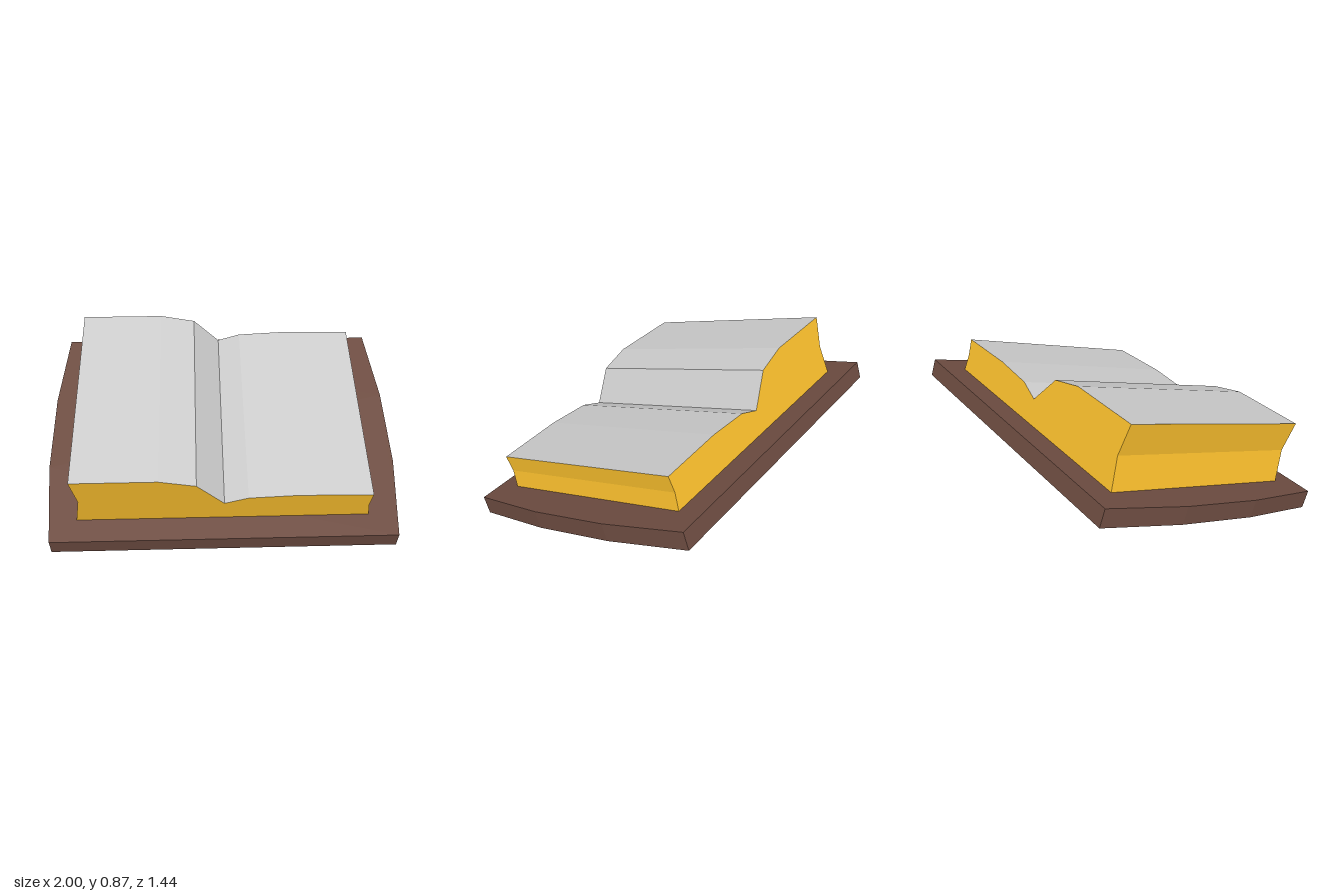
import * as THREE from 'three';
import { mergeGeometries } from 'three/addons/utils/BufferGeometryUtils.js';

const material = (color) => new THREE.MeshStandardMaterial({ color, flatShading: true });
const shapeOf = (pts) => new THREE.Shape(pts.map(([x, y]) => new THREE.Vector2(x, y)));

// Sweeps a profile along z; the outside is to the right of its direction.
function strip(profile, half) {
  const pos = [];
  for (let i = 0; i < profile.length - 1; i++) {
    const [a, b] = [profile[i], profile[i + 1]];
    pos.push(...a, half, ...a, -half, ...b, -half);
    pos.push(...a, half, ...b, -half, ...b, half);
  }
  const geometry = new THREE.BufferGeometry();
  geometry.setAttribute('position', new THREE.Float32BufferAttribute(pos, 3));
  geometry.computeVertexNormals();
  return geometry;
}

function endCap(outline, half, back) {
  const geometry = new THREE.ShapeGeometry(shapeOf(outline)).toNonIndexed();
  geometry.deleteAttribute('uv');
  if (back) {
    // Mirror the outline first so that the half turn restores it
    const mirrored = outline.map(([x, y]) => [-x, y]).reverse();
    const cap = new THREE.ShapeGeometry(shapeOf(mirrored)).toNonIndexed();
    cap.deleteAttribute('uv');
    return cap.rotateY(Math.PI).translate(0, 0, -half);
  }
  return geometry.translate(0, 0, half);
}

export function createModel() {
  const model = new THREE.Group();
  model.name = 'openBook';

  // The whole book leans, with its back edge raised
  const book = new THREE.Group();
  book.name = 'tiltedBook';
  book.rotation.x = Math.atan2(0.465, 1.41);
  book.position.set(0, 0.2325, -0.0165);
  model.add(book);

  const add = (name, geometry, color) => {
    const mesh = new THREE.Mesh(geometry, material(color));
    mesh.name = name;
    book.add(mesh);
    return mesh;
  };

  // Cover board with gently bulging sides
  const thickness = 0.104;
  const side = [[0.955, -0.7425], [1, -0.25], [1, 0.25], [0.955, 0.7425]];
  const outline = [...side, ...side.map(([x, y]) => [-x, -y])];
  const board = new THREE.ExtrudeGeometry(shapeOf(outline), { depth: thickness, bevelEnabled: false });
  add('cover', board.rotateX(-Math.PI / 2), 0x6d4c41);

  // Page block: profile split into gilded edges and the open spread
  const half = 0.605;
  const spread = [
    [0.805, 0.198], [0.4, 0.207], [0.13, 0.19], [0, 0.142],
    [-0.15, 0.316], [-0.35, 0.363], [-0.815, 0.363],
  ];
  const edges = [spread[6], [-0.785, 0.184], [-0.815, 0], [0.805, 0], [0.793, 0.1], spread[0]];
  const block = [...edges, ...spread.slice(1, -1)];

  const pageEdges = mergeGeometries([
    strip(edges, half),
    endCap(block, half, false),
    endCap(block, half, true),
  ]);
  add('pageEdges', pageEdges, 0xfbc02d).position.y = thickness;
  add('openPages', strip(spread, half), 0xcccccc).position.y = thickness;

  return model;
}
